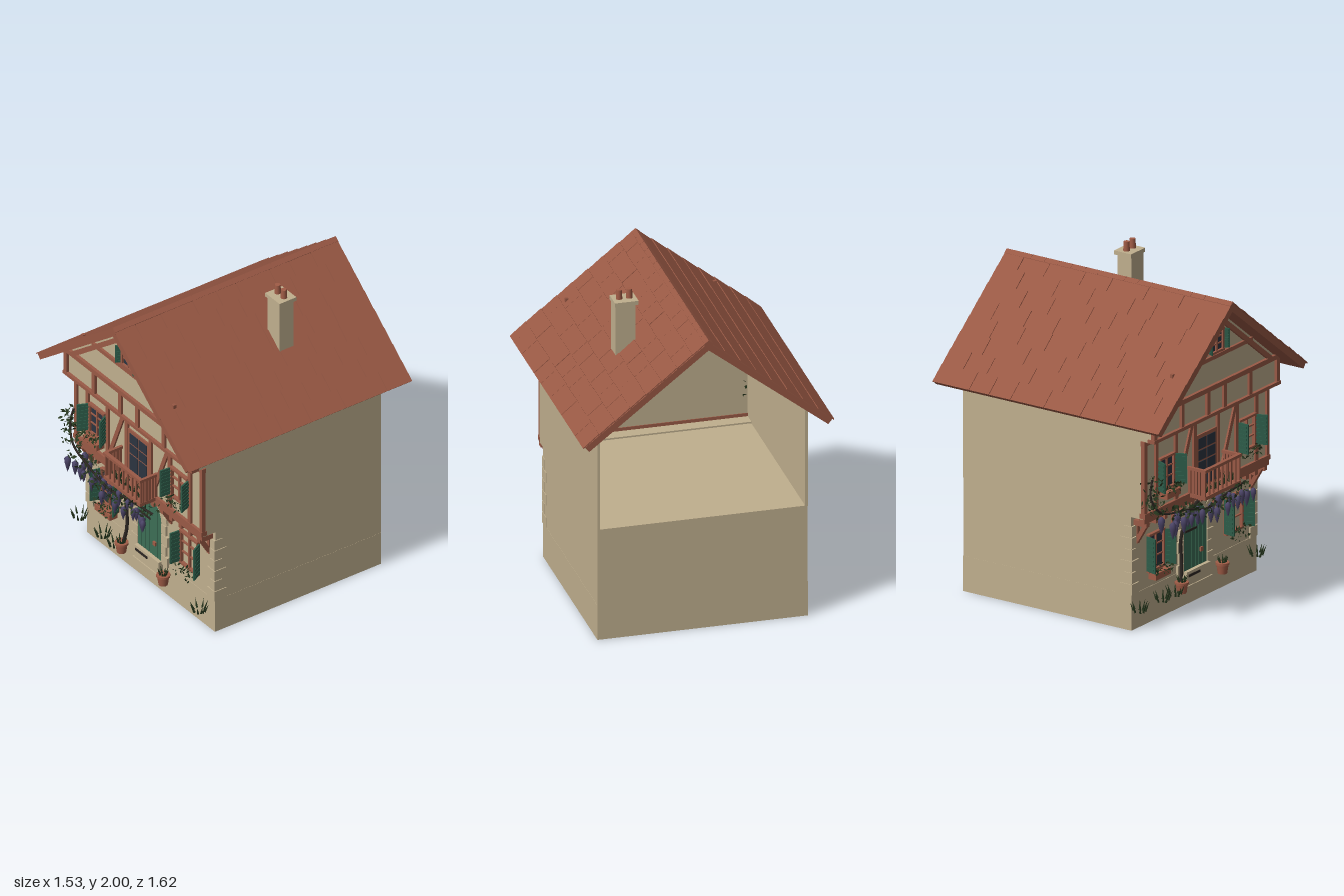
import * as THREE from 'three';
import { mergeGeometries } from 'three/addons/utils/BufferGeometryUtils.js';

const mat = (name, color, side = THREE.FrontSide) => {
  const m = new THREE.MeshStandardMaterial({ color, side });
  m.name = name;
  return m;
};

export function createModel() {
  const plaster = mat('plaster', 0xc0af8e), timber = mat('timber', 0x9a5a46), tile = mat('roofTile', 0x985844);
  const clay = mat('clay', 0xa05c46), glass = mat('glass', 0x2c3440), green = mat('greenPaint', 0x2d5c49);
  const doorGreen = mat('doorGreen', 0x3c6e56), leaf = mat('leaf', 0x28381f, THREE.DoubleSide);
  const purple = mat('blossom', 0x4c4568), bark = mat('barkAndIron', 0x2c2622);
  const house = new THREE.Group();
  house.name = 'timberHouse';

  let seed = 7;
  const rand = (a = 0, b = 1) => {
    seed = (seed * 16807) % 2147483647;
    return a + (b - a) * (seed / 2147483647);
  };
  const add = (name, geo, material, parent = house) => {
    const m = new THREE.Mesh(geo, material);
    m.name = name;
    parent.add(m);
    return m;
  };
  // Box given by its limits on each axis
  const box = (name, m, x0, x1, y0, y1, z0, z1, parent) => {
    const b = add(name, new THREE.BoxGeometry(x1 - x0, y1 - y0, z1 - z0), m, parent);
    b.position.set((x0 + x1) / 2, (y0 + y1) / 2, (z0 + z1) / 2);
    return b;
  };
  // Flat outline pushed from z0 to z1
  const prism = (name, m, pts, z0, z1) => {
    const shape = new THREE.Shape(pts.map(p => new THREE.Vector2(...p)));
    const g = new THREE.ExtrudeGeometry(shape, { depth: z1 - z0, bevelEnabled: false });
    return add(name, g.translate(0, 0, z0), m);
  };
  const chevron = (name, m, top, under, xTop, xUnder, z0, z1, s = 0.78) => prism(name, m, [
    [0, top], [-xTop, top - s * xTop], [-xUnder, under - s * xUnder], [0, under],
    [xUnder, under - s * xUnder], [xTop, top - s * xTop]], z0, z1);
  // Straight square beam between two points
  const beam = (name, m, a, b, w, d) => {
    const p = new THREE.Vector3(...a), q = new THREE.Vector3(...b);
    const o = add(name, new THREE.BoxGeometry(w, p.distanceTo(q), d), m);
    o.position.copy(p).add(q).multiplyScalar(0.5);
    o.quaternion.setFromUnitVectors(new THREE.Vector3(0, 1, 0), q.sub(p).normalize());
    return o;
  };

  // Walls: closed ground floor, upper storeys open at the back
  box('groundFloor', plaster, -0.637, 0.637, 0, 0.71, -0.68, 0.517);
  box('jettyFloor', plaster, -0.637, 0.637, 0.705, 0.72, 0.5, 0.6);
  box('upperFrontWall', plaster, -0.637, 0.637, 0.71, 1.2, 0.585, 0.6);
  box('atticJettyFloor', plaster, -0.637, 0.637, 1.19, 1.2, 0.59, 0.67);
  prism('gableWall', plaster, [[-0.637, 1.19], [0.637, 1.19], [0.637, 1.36], [0, 1.86], [-0.637, 1.36]], 0.655, 0.67);
  for (const s of [-1, 1]) {
    const w = (y0, y1, z0, z1) => box('sideWall', plaster, s > 0 ? 0.622 : -0.638, s > 0 ? 0.638 : -0.622, y0, y1, z0, z1);
    w(0.705, 1.39, -0.68, 0.6);
    w(1.19, 1.38, 0.6, 0.67);
    // Corner stones
    for (let i = 0; i < 6; i++) {
      const wd = i % 2 ? 0.045 : 0.075, y = 0.22 + i * 0.072;
      const x0 = s > 0 ? 0.642 - wd : -0.642;
      box('cornerStone', plaster, x0, x0 + wd, y, y + 0.066, 0.44 + (i % 2) * 0.03, 0.526);
    }
  }
  box('plinth', plaster, -0.638, 0.638, 0, 0.22, -0.68, 0.52);

  // Roof slab, overlapping tiles and ridge caps
  chevron('roof', tile, 1.9, 1.85, 0.75, 0.725, -0.815, 0.795);
  const tilt = Math.atan(0.78);
  for (const s of [-1, 1]) {
    const tiles = [], rows = 8, len = 0.96 / rows;
    for (let r = 0; r < rows; r++) {
      let z = -0.815;
      while (z < 0.79) {
        let e = Math.min(z + rand(0.14, 0.3), 0.8);
        if (e > 0.72) e = 0.8;
        const g = new THREE.BoxGeometry(len + 0.006, 0.006, e - z - 0.003);
        g.rotateZ(-s * 0.035).translate(s * (r + 0.5) * len, 0.004 + rand(0, 0.002), (z + e) / 2);
        tiles.push(g);
        z = e;
      }
    }
    const t = add('roofTiles', mergeGeometries(tiles), tile);
    t.rotation.z = -s * tilt;
    t.position.y = 1.9;
    const peg = box('roofPeg', tile, -0.01, 0.01, -0.012, 0.012, 0.67, 0.69);
    peg.position.set(s * 0.45, 1.56, 0.68);
  }
  for (let i = 0; i < 17; i++) {
    const z = -0.815 + i * 0.095;
    chevron('ridgeCap', tile, 1.914, 1.895, 0.025, 0.025, z, z + 0.091);
  }

  // Chimney
  const chimney = new THREE.Group();
  chimney.name = 'chimney';
  house.add(chimney);
  box('chimneyStack', plaster, 0.28, 0.4, 1.5, 1.92, -0.22, -0.12, chimney);
  box('chimneyCap', plaster, 0.265, 0.408, 1.917, 1.942, -0.235, -0.113, chimney);
  for (const x of [0.305, 0.367])
    add('chimneyPot', new THREE.CylinderGeometry(0.017, 0.02, 0.06, 12), clay, chimney).position.set(x, 1.97, -0.174);

  // Timber frame
  chevron('gableRafter', timber, 1.825, 1.787, 0.57, 0.525, 0.668, 0.69);
  for (const [w, y0, y1, z0, z1] of [
    [0.64, 0.71, 0.74, 0.58, 0.618], [0.635, 0.677, 0.708, 0.57, 0.612], [0.647, 1.162, 1.192, 0.59, 0.62],
    [0.645, 1.192, 1.213, 0.64, 0.69], [0.64, 1.355, 1.385, 0.66, 0.69], [0.365, 1.54, 1.565, 0.66, 0.685]])
    box('crossBeam', timber, -w, w, y0, y1, z0, z1);
  for (const x of [0.085, 0.347, 0.625]) for (const s of [-1, 1])
    box('atticPost', timber, s * x - 0.015, s * x + 0.015, 1.2, 1.36, 0.66, 0.686);
  for (const x of [0.118, 0.31, 0.51, 0.625]) for (const s of [-1, 1])
    box('post', timber, s * x - 0.014, s * x + 0.014, 0.73, 1.17, 0.59, 0.614);
  for (const x of [-0.14, 0.305])
    beam('diagonalBrace', timber, [x, 1.165, 0.603], [x - 0.17, 0.735, 0.603], 0.028, 0.018);
  for (let i = 0; i < 14; i++) {
    const x = -0.6 + i * 1.2 / 13;
    box('joistEnd', timber, x - 0.014, x + 0.014, 0.65, 0.682, 0.51, 0.612);
  }
  for (const x of [-0.58, -0.215, 0.2, 0.58]) {
    beam('bracket', timber, [x, 0.55, 0.525], [x, 0.67, 0.595], 0.026, 0.025);
    box('bracketPost', timber, x - 0.013, x + 0.013, 0.53, 0.66, 0.515, 0.53);
  }

  // Foliage made of small pointed leaves
  const leaves = (name, count, place, size = 0.016) => {
    const list = [];
    for (let i = 0; i < count; i++) {
      const g = new THREE.CircleGeometry(size * rand(0.7, 1.2), 4).scale(1, 0.5, 1);
      g.rotateX(rand(-1.2, 1.2)).rotateY(rand(-1, 1)).rotateZ(rand(0, 6.28));
      list.push(g.translate(...place(i / count)));
    }
    add(name, mergeGeometries(list), leaf);
  };
  const tuft = (x, y, z, r = 0.03, h = 0.07) => {
    const list = [];
    for (let i = 0; i < 9; i++) {
      const a = i * 2.4, g = new THREE.ConeGeometry(0.008, h * rand(0.7, 1), 4);
      g.translate(0, h / 2, 0).rotateZ(-0.4 * Math.cos(a)).rotateX(0.4 * Math.sin(a));
      list.push(g.translate(x + r * Math.cos(a) * 0.7, y, z + r * Math.sin(a) * 0.7));
    }
    add('grassTuft', mergeGeometries(list), leaf);
  };

  // Window with frame, bars, hinged shutters and optional flower box
  const windowUnit = (x, y0, y1, w, z, glazed, leftTurn, rightTurn, depth, planter) => {
    const g = new THREE.Group(), h = w / 2, f = 0.014;
    g.name = 'window';
    g.position.set(x, 0, z);
    house.add(g);
    if (glazed) box('pane', glass, -h, h, y0, y1, 0, 0.006, g);
    for (const s of [-1, 1]) box('frameSide', timber, s * h - f / 2, s * h + f / 2, y0, y1, 0, 0.02, g);
    for (const y of [y0, y1]) box('frameRail', timber, -h - f / 2, h + f / 2, y - f / 2, y + f / 2, 0, 0.022, g);
    box('mullion', timber, -0.006, 0.006, y0, y1, 0, 0.016, g);
    for (const t of [0.36, 0.68]) {
      const y = y0 + (y1 - y0) * t;
      box('glazingBar', timber, -h, h, y - 0.004, y + 0.004, 0, 0.013, g);
    }
    for (const [s, turn] of [[-1, leftTurn], [1, rightTurn]]) {
      const hinge = new THREE.Group();
      hinge.name = 'shutter';
      hinge.position.set(s * (h + 0.008), 0, 0.008);
      hinge.rotation.y = -s * turn;
      g.add(hinge);
      const lo = s > 0 ? 0 : -depth;
      box('shutterBoard', green, lo, lo + depth, y0 + 0.006, y1 - 0.004, -0.005, 0.005, hinge);
      for (let i = 1; i < 8; i++) {
        const y = y0 + (y1 - y0) * i / 8;
        box('shutterSlat', green, lo + 0.008, lo + depth - 0.008, y - 0.006, y + 0.006, -0.008, 0.008, hinge);
      }
    }
    if (planter) {
      box('flowerBox', clay, -h, h, y0 - 0.045, y0 - 0.005, 0.01, 0.065, g);
      leaves('windowPlants', 50, () => [x + rand(-h, h), y0 + rand(-0.02, 0.035), z + rand(0.02, 0.09)], 0.014);
    }
  };
  windowUnit(-0.41, 0.84, 1.035, 0.14, 0.6, true, 1.15, 1.05, 0.078, true);
  windowUnit(0.41, 0.84, 1.035, 0.155, 0.6, false, 1.5, 1.2, 0.078, false);
  windowUnit(-0.4, 0.32, 0.545, 0.15, 0.517, true, 1.3, 1.1, 0.075, true);
  windowUnit(0.395, 0.32, 0.545, 0.165, 0.517, false, 1.5, 1.05, 0.075, false);
  windowUnit(0, 1.58, 1.71, 0.125, 0.67, true, 1.1, 1.1, 0.04, false);
  for (const [y, z] of [[0.835, 0.65], [0.315, 0.57]])
    leaves('sillPlants', 40, () => [0.4 + rand(-0.08, 0.08), y + rand(-0.03, 0.03), z + rand(-0.03, 0.03)], 0.014);

  // Balcony and its glazed door
  box('balconyDoorFrame', timber, -0.11, 0.11, 0.73, 1.068, 0.595, 0.61);
  for (const s of [-1, 1]) for (const [y0, y1] of [[0.75, 0.9], [0.91, 0.97], [0.98, 1.045]])
    box('balconyDoorPane', glass, s > 0 ? 0.005 : -0.085, s > 0 ? 0.085 : -0.005, y0, y1, 0.608, 0.613);
  box('balconyFloor', timber, -0.182, 0.182, 0.715, 0.738, 0.6, 0.73);
  box('frontHandrail', timber, -0.185, 0.185, 0.885, 0.903, 0.708, 0.732);
  for (let i = 0; i < 9; i++) {
    const x = -0.176 + i * 0.044;
    box('baluster', timber, x - 0.005, x + 0.005, 0.735, 0.89, 0.715, 0.726);
  }
  for (const s of [-1, 1]) {
    box('sideHandrail', timber, s * 0.176 - 0.009, s * 0.176 + 0.009, 0.885, 0.903, 0.6, 0.73);
    for (let i = 0; i < 5; i++)
      box('sideBaluster', timber, s * 0.176 - 0.005, s * 0.176 + 0.005, 0.735, 0.89, 0.605 + i * 0.023, 0.622 + i * 0.023);
  }
  for (const x of [-0.11, -0.04, 0.05, 0.13]) tuft(x, 0.74, 0.68, 0.02, 0.06);

  // Arched entrance door with planks, stone surround and steps
  for (let i = 0; i < 6; i++) {
    const x0 = -0.115 + i * 0.0385, x1 = x0 + 0.0355;
    const top = x => 0.487 + Math.sqrt(Math.max(0, 0.0134 - x * x));
    const mid = (x0 + x1) / 2;
    prism('doorPlank', doorGreen, [[x0, 0.2], [x1, 0.2], [x1, top(x1)], [mid, top(mid)], [x0, top(x0)]], 0.518, 0.529);
  }
  box('doorStrap', bark, -0.105, 0.01, 0.45, 0.463, 0.528, 0.534);
  box('doorStrap', bark, -0.105, 0.01, 0.182, 0.197, 0.553, 0.558);
  box('doorHandle', clay, 0.045, 0.068, 0.295, 0.322, 0.528, 0.54);
  for (const s of [-1, 1]) for (let i = 0; i < 4; i++) {
    const w = i % 2 ? 0.045 : 0.062, x0 = s > 0 ? 0.118 : -0.118 - w;
    box('doorStone', plaster, x0, x0 + w, 0.2 + i * 0.072, 0.267 + i * 0.072, 0.51, 0.533);
  }
  for (let i = 0; i < 9; i++) {
    const a = (i + 0.5) * Math.PI / 9;
    const st = box('archStone', plaster, -0.026, 0.026, -0.023, 0.023, -0.012, 0.012);
    st.position.set(Math.cos(a) * 0.146, 0.487 + Math.sin(a) * 0.146, 0.521);
    st.rotation.z = a;
  }
  box('upperStep', plaster, -0.118, 0.122, 0.12, 0.215, 0.5, 0.553);
  box('lowerStep', plaster, -0.13, 0.134, 0.1, 0.13, 0.5, 0.56);

  // Flower pots and tufts along the front
  for (const x of [-0.21, 0.205]) {
    add('flowerPot', new THREE.CylinderGeometry(0.038, 0.028, 0.065, 12), clay).position.set(x, 0.155, 0.58);
    add('potRim', new THREE.CylinderGeometry(0.042, 0.042, 0.014, 12), clay).position.set(x, 0.185, 0.58);
    tuft(x, 0.19, 0.58, 0.025, 0.045);
  }
  for (const x of [-0.635, -0.4, -0.275, 0.56]) tuft(x, 0.125, 0.575, 0.045, 0.075);

  // Climbing vine with hanging blossom
  const path = pts => new THREE.CatmullRomCurve3(pts.map(p => new THREE.Vector3(...p)));
  const trunk = path([[-0.205, 0.19, 0.57], [-0.185, 0.3, 0.56], [-0.19, 0.45, 0.56], [-0.165, 0.6, 0.6], [-0.15, 0.7, 0.66]]);
  const branch = path([[-0.6, 0.95, 0.64], [-0.625, 0.84, 0.65], [-0.56, 0.74, 0.68], [-0.35, 0.71, 0.72], [-0.15, 0.66, 0.72], [0.02, 0.69, 0.72], [0.27, 0.7, 0.7]]);
  add('vineTrunk', new THREE.TubeGeometry(trunk, 24, 0.011, 6), bark);
  add('vineBranch', new THREE.TubeGeometry(branch, 50, 0.007, 6), bark);
  leaves('vineLeaves', 260, t => {
    const p = branch.getPoint(t);
    return [p.x + rand(-0.035, 0.035), p.y + rand(-0.03, 0.035), p.z + rand(-0.07, 0.07)];
  }, 0.018);
  const profile = [[0, -0.1], [0.009, -0.075], [0.018, -0.04], [0.02, -0.015], [0.008, 0], [0, 0.003]].map(p => new THREE.Vector2(...p));
  const blooms = [];
  for (let i = 0; i < 26; i++) {
    const k = rand(0.75, 1.1), x = -0.54 + i * 0.0315;
    const g = new THREE.LatheGeometry(profile, 7).scale(k, k, k);
    blooms.push(g.translate(x + rand(-0.012, 0.012), 0.685 - (Math.abs(x + 0.12) < 0.08 ? 0.03 : 0) + rand(-0.02, 0.02), rand(0.62, 0.78)));
  }
  add('blossomClusters', mergeGeometries(blooms), purple);
  return house;
}
